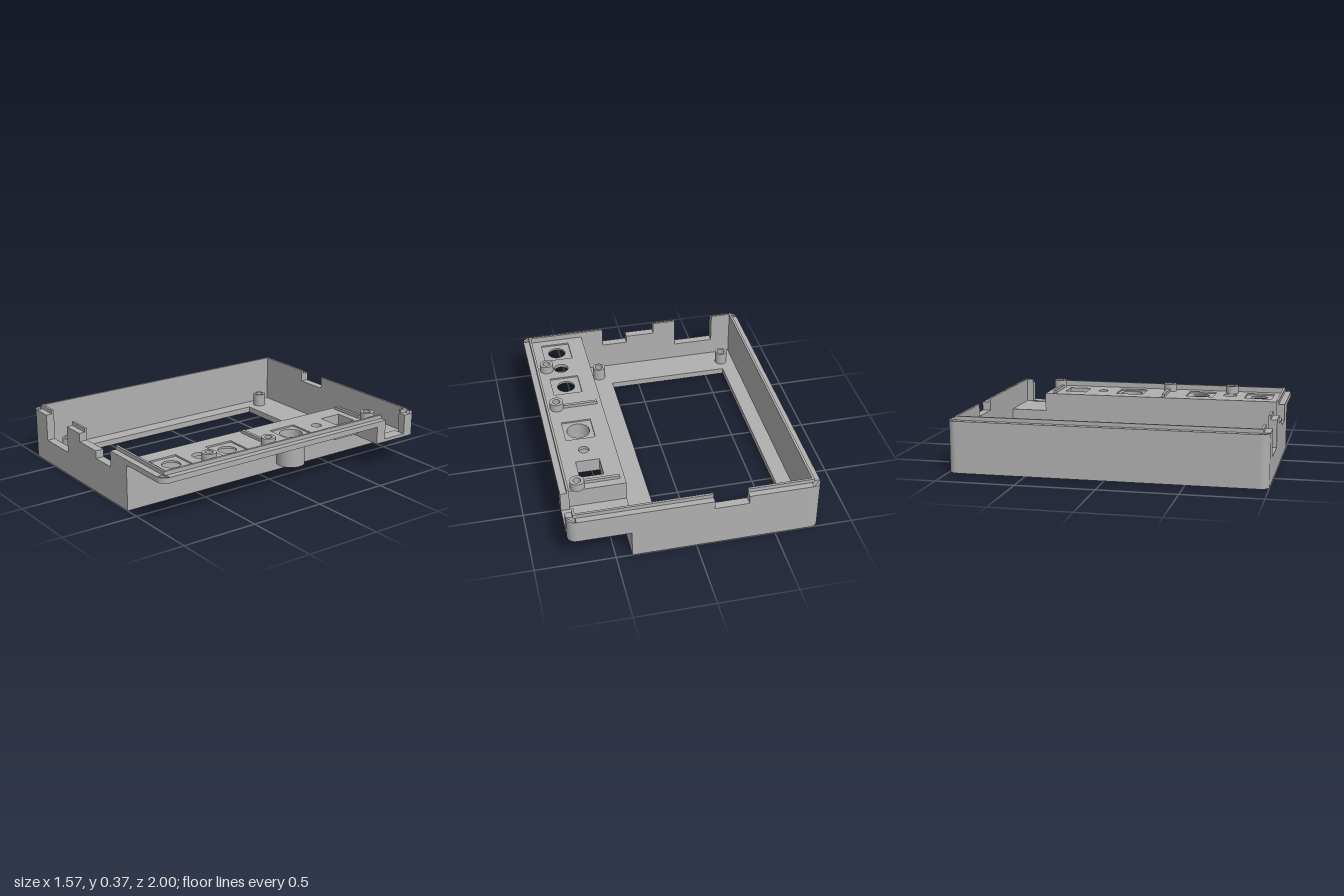
import * as THREE from 'three';
import { toCreasedNormals } from 'three/addons/utils/BufferGeometryUtils.js';

export function createModel() {
  const model = new THREE.Group();
  const grey = new THREE.MeshStandardMaterial({ color: 0xb0b0b0 });
  grey.name = 'grey plastic';

  // Main levels and wall limits
  const X = 0.785, Z = 1, T = 0.055, XI = X - T, ZI = Z - T;
  const RIM = 0.33, LIP = 0.355, SHELF = 0.295, SHELF_TOP = 0.318, POCKET = 0.18;

  const add = (name, geo) => {
    const mesh = new THREE.Mesh(geo, grey);
    mesh.name = name;
    model.add(mesh);
    return mesh;
  };
  const box = (name, x0, x1, y0, y1, z0, z1) =>
    add(name, new THREE.BoxGeometry(x1 - x0, y1 - y0, z1 - z0)
      .translate((x0 + x1) / 2, (y0 + y1) / 2, (z0 + z1) / 2));
  const poly = (pts) => new THREE.Shape(pts.map(([a, b]) => new THREE.Vector2(a, b)));
  const rect = (x0, x1, z0, z1) => poly([[x0, z0], [x1, z0], [x1, z1], [x0, z1]]);
  const circle = (x, z, r) => new THREE.Shape().absarc(x, z, r, 0, Math.PI * 2);
  const extrude = (shape, depth) =>
    new THREE.ExtrudeGeometry(shape, { depth, bevelEnabled: false, curveSegments: 20 });

  // Horizontal slab from a plan in x and z
  const slab = (name, shape, y0, y1, holes = []) => {
    shape.holes.push(...holes);
    const geo = extrude(shape, y1 - y0).rotateX(Math.PI / 2).translate(0, y1, 0);
    return add(name, toCreasedNormals(geo, 0.6));
  };
  // Wall across the case, from a profile in x and y
  const crossWall = (name, shape, z0, z1) =>
    add(name, toCreasedNormals(extrude(shape, z1 - z0).translate(0, 0, z0), 0.6));
  // Wall along the case, from a profile in z and y
  const sideWall = (name, pts, x0, x1) =>
    add(name, extrude(poly(pts), x1 - x0).rotateY(-Math.PI / 2).translate(x1, 0, 0));
  const ring = (name, x, z, y0, y1, outer, inner) =>
    slab(name, circle(x, z, outer), y0, y1, [circle(x, z, inner)]);

  // Outer walls with cable notches
  crossWall('frontWall', poly([
    [-XI, 0], [0.4, 0], [0.4, SHELF], [XI, SHELF], [XI, RIM],
    [0.215, RIM], [0.215, 0.225], [0.04, 0.225], [0.04, 0.275], [-0.16, 0.275], [-0.16, RIM],
    [-0.32, RIM], [-0.32, 0.155], [-0.595, 0.155], [-0.595, RIM], [-XI, RIM],
  ]), ZI, Z);
  crossWall('backWall', poly([
    [-XI, 0], [0.4, 0], [0.4, POCKET], [XI, POCKET], [XI, RIM],
    [-0.11, RIM], [-0.11, 0.275], [-0.325, 0.275], [-0.325, RIM], [-XI, RIM],
  ]), -Z, -ZI);
  box('rightWall', -X, -XI, 0, RIM, -ZI, ZI);
  sideWall('leftWall', [
    [-ZI, POCKET], [-0.66, POCKET], [-0.66, SHELF], [ZI, SHELF], [ZI, RIM],
    [-0.73, RIM], [-0.73, 0.2], [-0.9, 0.2], [-0.9, RIM], [-ZI, RIM],
  ], XI, X);

  // Rounded corners
  for (const [sx, sz, y0, start] of [
    [1, 1, SHELF, 0], [-1, 1, 0, 1], [-1, -1, 0, 2], [1, -1, POCKET, 3],
  ]) {
    const pie = new THREE.Shape();
    pie.moveTo(sx * XI, sz * ZI);
    pie.absarc(sx * XI, sz * ZI, T, start * Math.PI / 2, (start + 1) * Math.PI / 2);
    pie.closePath();
    slab('corner', pie, y0, RIM);
  }

  // Thin locating lip on the rim
  const lo = 0.745;
  for (const [a, b] of [[-lo, -0.595], [-0.32, -0.16], [0.215, lo]])
    box('frontLip', a, b, RIM, LIP, ZI, 0.96);
  for (const [a, b] of [[-lo, -0.325], [-0.11, lo]])
    box('backLip', a, b, RIM, LIP, -0.96, -ZI);
  box('rightLip', -lo, -XI, RIM, LIP, -ZI, ZI);
  for (const [a, b] of [[-ZI, -0.9], [-0.73, ZI]])
    box('leftLip', XI, lo, RIM, LIP, a, b);

  // Floor with display window and countersunk screw holes
  const screws = [[-0.64, -0.8], [0.27, -0.8], [-0.64, 0.82], [0.27, 0.82]];
  for (const [y0, y1, r] of [[0, 0.02, 0.043], [0.02, 0.04, 0.026]]) {
    slab('floor', rect(-XI, 0.37, -ZI, ZI), y0, y1, [
      rect(-0.63, 0.19, -0.7, 0.72), ...screws.map(([x, z]) => circle(x, z, r)),
    ]);
  }
  for (const [x, z] of screws) ring('floorBoss', x, z, 0.04, 0.125, 0.042, 0.026);

  // Inner step wall between the deep tray and the shelf
  sideWall('stepWall', [
    [-ZI, 0], [ZI, 0], [ZI, SHELF], [-0.7, SHELF], [-0.7, 0.195], [-ZI, 0.195],
  ], 0.37, 0.4);
  const fillet = new THREE.Shape();
  fillet.moveTo(0.4, SHELF);
  fillet.lineTo(0.4, SHELF - 0.018);
  fillet.quadraticCurveTo(0.4, SHELF, 0.418, SHELF);
  crossWall('stepFillet', fillet, -0.66, Z);

  // Shelf: round holes below, square recesses above
  const posts = [[0.67, -0.67], [0.67, 0.145], [0.67, 0.59]];
  const big = [[-0.115, 0.073], [0.385, 0.058], [0.795, 0.058]];
  const common = () => [
    rect(0.49, 0.64, -0.585, -0.435), circle(0.57, -0.325, 0.033), circle(0.57, 0.59, 0.047),
    ...posts.map(([x, z]) => circle(x, z, 0.024)),
  ];
  slab('shelf', rect(0.37, XI, -0.7, ZI), SHELF, 0.308,
    [...common(), ...big.map(([z, r]) => circle(0.57, z, r))]);
  slab('shelfTop', rect(0.37, XI, -0.7, ZI), 0.308, SHELF_TOP,
    [...common(), ...big.map(([z]) => rect(0.475, 0.665, z - 0.095, z + 0.095))]);
  for (const [x, z] of posts) ring('shelfBoss', x, z, SHELF_TOP, 0.37, 0.045, 0.024);
  for (const z of [-0.64, 0.142]) box('shelfRib', 0.4, 0.63, SHELF_TOP, 0.338, z - 0.01, z + 0.01);

  // Collars hanging below the shelf
  ring('roundCollar', 0.57, -0.115, 0.11, SHELF, 0.092, 0.073);
  slab('squareCollar', rect(0.468, 0.665, -0.605, -0.405), 0.228, SHELF,
    [rect(0.49, 0.64, -0.585, -0.435)]);

  // Socket pocket in the back corner
  box('pocketFloor', 0.4, XI, POCKET, 0.195, -ZI, -0.66);
  box('pocketWall', 0.4, XI, 0.195, SHELF, -0.7, -0.66);
  box('pocketSill', 0.7, XI, 0.195, 0.2, -0.9, -0.73);

  return model;
}
